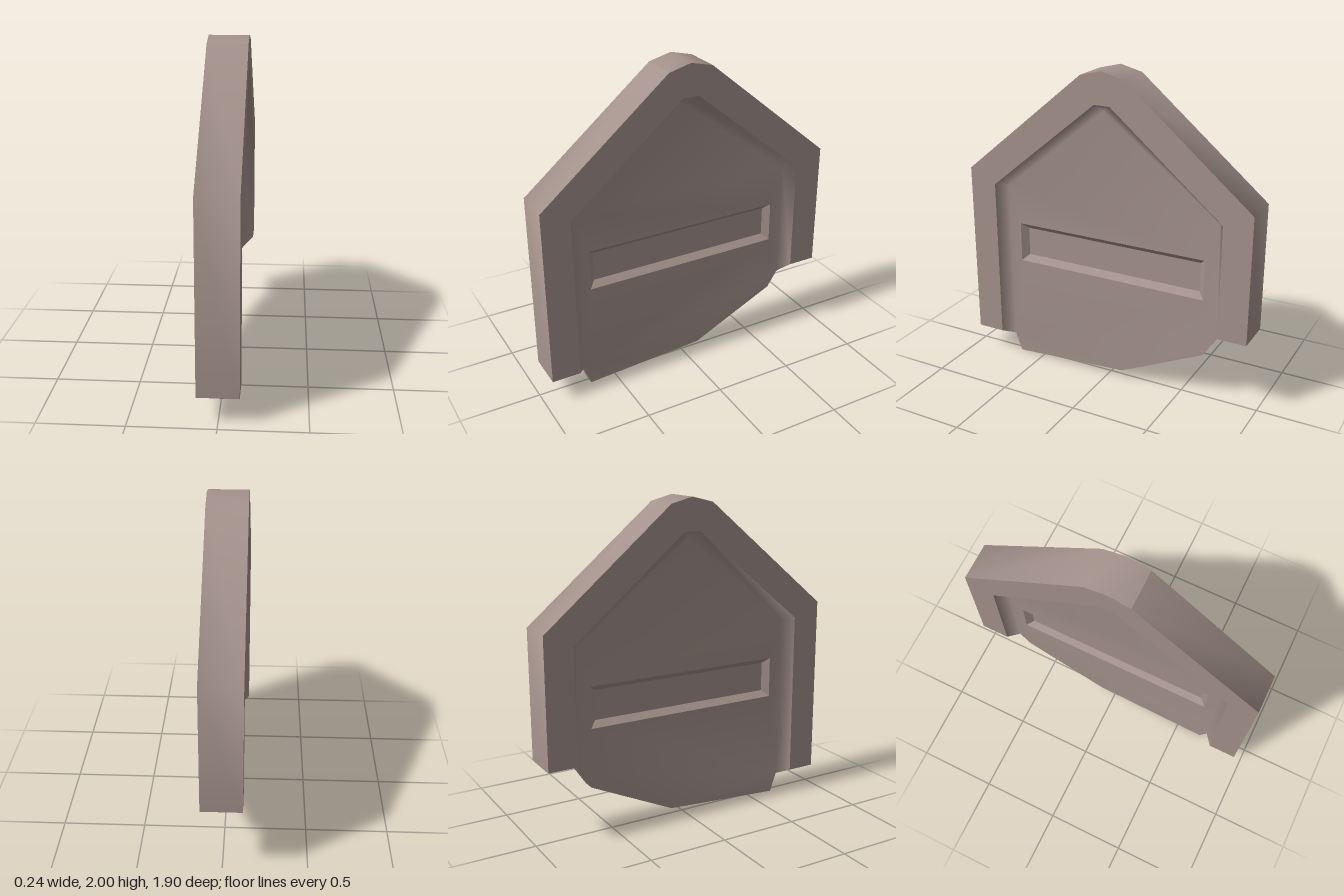
import * as THREE from 'three';
import { mergeGeometries, mergeVertices, toCreasedNormals } from 'three/addons/utils/BufferGeometryUtils.js';

const FRAME = 0.12; // half thickness of the frame
const PANEL = 0.04; // half thickness of the panel
const FLOOR = 0.005; // half thickness left at the slot

// Indexed band of quads between two rows of [x, y, z] points
function band(rowA, rowB, closed = false) {
  const n = rowA.length;
  const index = [];
  for (let i = 0; i < (closed ? n : n - 1); i++) {
    const j = (i + 1) % n;
    index.push(i, j, n + j, i, n + j, n + i);
  }
  const g = new THREE.BufferGeometry();
  g.setAttribute('position', new THREE.Float32BufferAttribute([...rowA, ...rowB].flat(), 3));
  g.setIndex(index);
  return g;
}

const at = (points, z) => points.map(([x, y]) => [x, y, z]);
const vectors = (points) => points.map(([x, y]) => new THREE.Vector2(x, y));

function plate(points, z, hole) {
  const shape = new THREE.Shape(vectors(points));
  if (hole) shape.holes.push(new THREE.Path(vectors(hole)));
  return new THREE.ShapeGeometry(shape).translate(0, 0, z);
}

function flat(geometry) {
  const g = geometry.toNonIndexed();
  g.computeVertexNormals();
  return g;
}

// Copy on the opposite face, with the corner order reversed
function mirrored(geometry) {
  const g = geometry.index ? geometry.toNonIndexed() : geometry.clone();
  g.scale(1, 1, -1);
  for (const attribute of Object.values(g.attributes)) {
    const a = attribute.array, s = attribute.itemSize;
    for (let i = 0; i < a.length; i += 3 * s) {
      for (let k = 0; k < s; k++) {
        [a[i + s + k], a[i + 2 * s + k]] = [a[i + 2 * s + k], a[i + s + k]];
      }
    }
  }
  return g;
}

const rect = (x, y0, y1) => [[-x, y0], [x, y0], [x, y1], [-x, y1]];

export function createModel() {
  const stone = new THREE.MeshStandardMaterial({ color: 0xa4928c });
  stone.name = 'warm grey stone';

  // Drawn in profile: local x runs to the back, local z is the thickness
  const model = new THREE.Group();
  model.name = 'gabledSlab';
  const profile = new THREE.Group();
  profile.name = 'slabProfile';
  profile.rotation.y = Math.PI / 2;
  model.add(profile);

  const add = (name, geometry) => {
    const mesh = new THREE.Mesh(geometry, stone);
    mesh.name = name;
    profile.add(mesh);
  };
  const addBothSides = (name, geometry) => {
    add(name + 'Left', geometry);
    add(name + 'Right', mirrored(geometry));
  };

  // Outlines run counter-clockwise from the short back leg to the long front leg
  const outer = [[0.95, 0.49], [0.95, 1.29], [0.14, 1.965], [0, 2], [-0.14, 1.965], [-0.95, 1.29], [-0.95, 0.16]];
  const inner = [[0.77, 0.49], [0.77, 1.205], [0.05, 1.8], [-0.05, 1.8], [-0.77, 1.205], [-0.77, 0.16]];
  const panelTop = [[0.72, 0.415], [0.72, 1.18], [0.03, 1.75], [-0.03, 1.75], [-0.72, 1.18], [-0.715, 0.12]];
  const panelBottom = [[-0.67, 0], [0.1, 0.05], [0.65, 0.31]];
  const slotOuter = rect(0.64, 0.677, 0.935);
  const slotInner = rect(0.6, 0.715, 0.9);

  // Raised frame faces
  addBothSides('frameFace', plate([...outer, ...[...inner].reverse()], FRAME));

  // Outer rim, softly shaded with one sharp edge at the front of the peak
  const rim = (points) => toCreasedNormals(band(at(points, -FRAME), at(points, FRAME)), Math.PI / 3);
  add('rimBackAndPeak', rim(outer.slice(0, 5)));
  add('rimFront', rim(outer.slice(4)));

  // Underside of the legs and the panel
  const under = [
    [-0.95, 0.16, FRAME], [-0.77, 0.16, FRAME], [-0.715, 0.12, PANEL],
    ...at(panelBottom, PANEL),
    [0.72, 0.415, PANEL], [0.77, 0.49, FRAME], [0.95, 0.49, FRAME],
  ];
  add('underside', flat(band(under.map(([x, y, z]) => [x, y, -z]), under)));

  // Recessed panel blended smoothly into the bevel of the frame
  const sheet = plate([...panelTop, ...panelBottom], PANEL, slotOuter);
  sheet.deleteAttribute('normal');
  sheet.deleteAttribute('uv');
  const panel = mergeVertices(mergeGeometries([sheet, band(at(inner, FRAME), at(panelTop, PANEL))]), 1e-4);
  panel.computeVertexNormals();
  addBothSides('panel', panel);

  // Long sunken slot
  addBothSides('slotBevel', flat(band(at(slotOuter, PANEL), at(slotInner, FLOOR), true)));
  addBothSides('slotFloor', plate(slotInner, FLOOR));

  return model;
}
